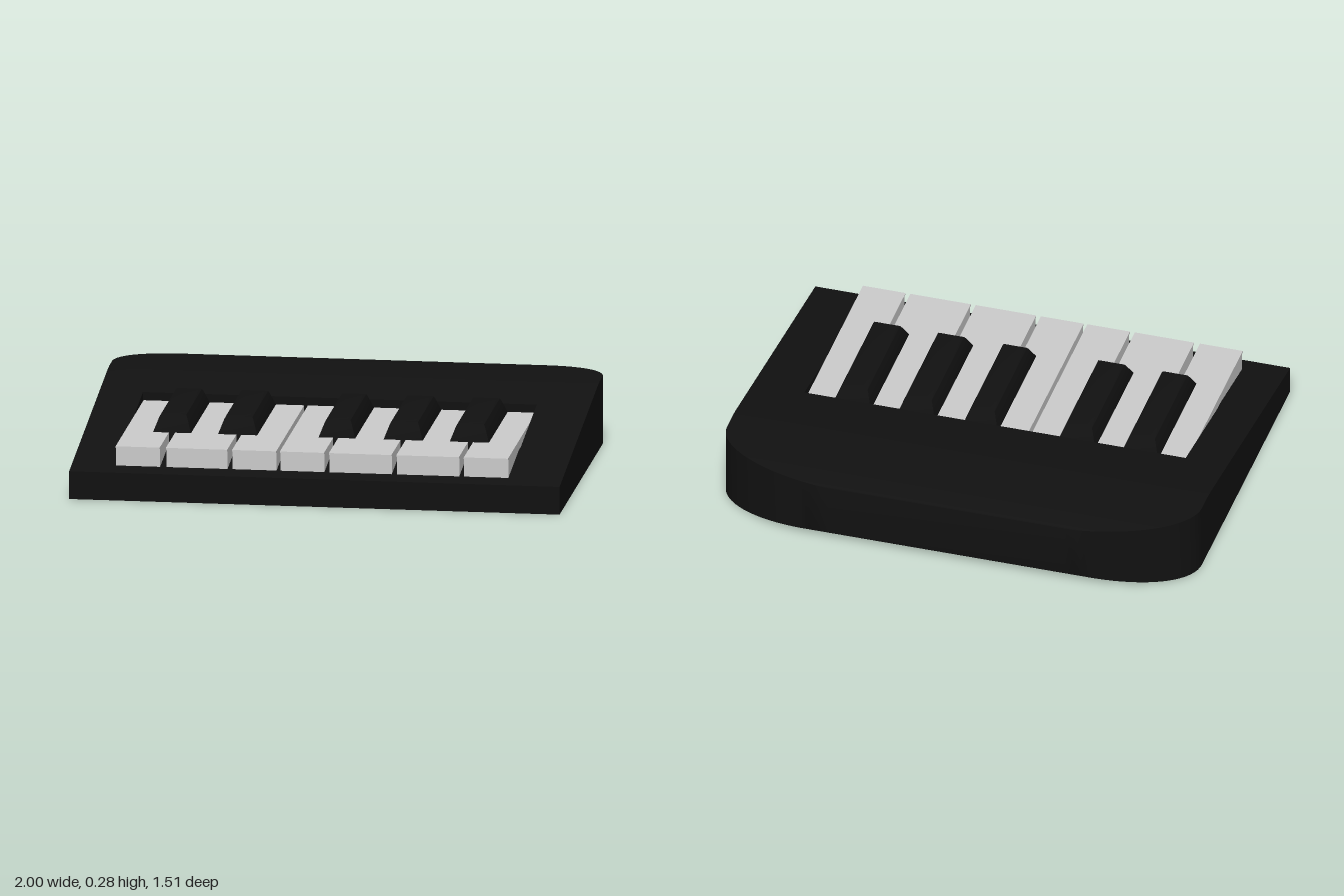
import * as THREE from 'three';
import { toCreasedNormals } from 'three/addons/utils/BufferGeometryUtils.js';

const black = new THREE.MeshStandardMaterial({ color: 0x111111 });
const grey = new THREE.MeshStandardMaterial({ color: 0xcccccc });

// Skin a stack of convex-capped rings; the first ring runs counter-clockwise seen from outside
function loft(rings, crease) {
  const pos = [];
  const tri = (a, b, c) => {
    const [A, B, C] = [a, b, c].map((p) => new THREE.Vector3(...p));
    if (B.sub(A).cross(C.sub(A)).length() > 1e-9) pos.push(...a, ...b, ...c);
  };
  const n = rings[0].length, last = rings[rings.length - 1];
  for (let i = 0; i < rings.length - 1; i++) {
    for (let j = 0; j < n; j++) {
      const k = (j + 1) % n, p = rings[i], q = rings[i + 1];
      tri(p[j], q[j], p[k]);
      tri(p[k], q[j], q[k]);
    }
  }
  for (let j = 1; j < n - 1; j++) {
    tri(rings[0][0], rings[0][j], rings[0][j + 1]);
    tri(last[0], last[j + 1], last[j]);
  }
  const g = new THREE.BufferGeometry();
  g.setAttribute('position', new THREE.Float32BufferAttribute(pos, 3));
  return toCreasedNormals(g, crease);
}

// Wedge case: slices from front to back, rounded rear corners, recess behind the keys
const FRONT = 0.757, RECESS_BACK = -0.133, FLOOR = 0.17;
const arc = (z, start) => {
  const t = Math.min(1, Math.max(0, (start - z) / (FRONT + start)));
  return Math.sqrt(1 - t * t);
};
const topAt = (z) => z > -0.4
  ? 0.115 + 0.165 * (FRONT - z) / (FRONT + 0.4)
  : 0.25 + 0.03 * arc(z, -0.55);

function caseSlice(z, recessed) {
  const w = 0.5 + 0.5 * arc(z, -0.5);
  const yb = 0.035 * (1 - arc(z, -0.55)), yt = topAt(z);
  const yr = recessed ? Math.min(yt, FLOOR) : yt;
  const l = Math.max(-w, -0.823), r = Math.min(w, 0.783);
  return [[-w, yb], [w, yb], [w, yt], [r, yt], [r, yr], [l, yr], [l, yt], [-w, yt]]
    .map(([x, y]) => [x, y, z]);
}

function caseGeometry() {
  const floorStart = FRONT - (FLOOR - 0.115) / 0.165 * (FRONT + 0.4);
  const rings = [
    caseSlice(FRONT, false), caseSlice(floorStart, false),
    caseSlice(RECESS_BACK, true), caseSlice(RECESS_BACK, false),
    caseSlice(-0.38, false), caseSlice(-0.42, false),
  ];
  const steps = 20;
  for (let i = 0; i <= steps; i++) {
    rings.push(caseSlice(-0.5 - 0.257 * Math.sin(i / steps * Math.PI / 2), false));
  }
  return loft(rings, 0.7);
}

// Key layout across x
const whiteSpans = [[-0.82, -0.64], [-0.615, -0.365], [-0.345, -0.165], [-0.15, 0.03],
  [0.05, 0.305], [0.325, 0.58], [0.6, 0.78]];
const blackSpans = [[-0.705, -0.55], [-0.44, -0.28], [-0.03, 0.12], [0.235, 0.395], [0.505, 0.665]];
const KEY_BACK = -0.13, NOTCH = 0.42;

// Notched key plan, extruded down from its top
function whiteSlab([a, b], front, top, depth) {
  let l = a, r = b;
  for (const [p, q] of blackSpans) {
    if (p < a && q > a) l = q;
    if (p < b && q > b) r = p;
  }
  const outline = [[l, KEY_BACK], [r, KEY_BACK], [r, NOTCH], [b, NOTCH], [b, front], [a, front], [a, NOTCH], [l, NOTCH]]
    .filter((p, i, all) => i === 0 || p[0] !== all[i - 1][0] || p[1] !== all[i - 1][1]);
  const shape = new THREE.Shape(outline.map(([x, z]) => new THREE.Vector2(x, z)));
  return new THREE.ExtrudeGeometry(shape, { depth, bevelEnabled: false })
    .rotateX(Math.PI / 2).translate(0, top, 0);
}

// Raised key with sloping ends and chamfered sides
function blackKeyGeometry([a, b]) {
  const layers = [[0.165, 0, 0], [0.208, 0, 0], [0.262, 0.02, 0.035], [0.274, 0.026, 0.044], [0.279, 0.036, 0.062]];
  return loft(layers.map(([y, dx, dz]) => [
    [a + dx, y, KEY_BACK + dz], [b - dx, y, KEY_BACK + dz],
    [b - dx, y, NOTCH - dz], [a + dx, y, NOTCH - dz],
  ]), 0.6);
}

export function createModel() {
  const model = new THREE.Group();
  model.name = 'keyboard';
  const add = (parent, name, geometry, material) => {
    const mesh = new THREE.Mesh(geometry, material);
    mesh.name = name;
    parent.add(mesh);
  };

  add(model, 'case', caseGeometry(), black);

  // White keys: a block with a thin overhanging top plate
  whiteSpans.forEach((span, i) => {
    const key = new THREE.Group();
    key.name = `whiteKey${i + 1}`;
    add(key, 'keyBlock', whiteSlab(span, 0.677, 0.202, 0.078), grey);
    add(key, 'keyTop', whiteSlab(span, 0.69, 0.209, 0.007), grey);
    model.add(key);
  });

  blackSpans.forEach((span, i) => add(model, `blackKey${i + 1}`, blackKeyGeometry(span), black));
  return model;
}
